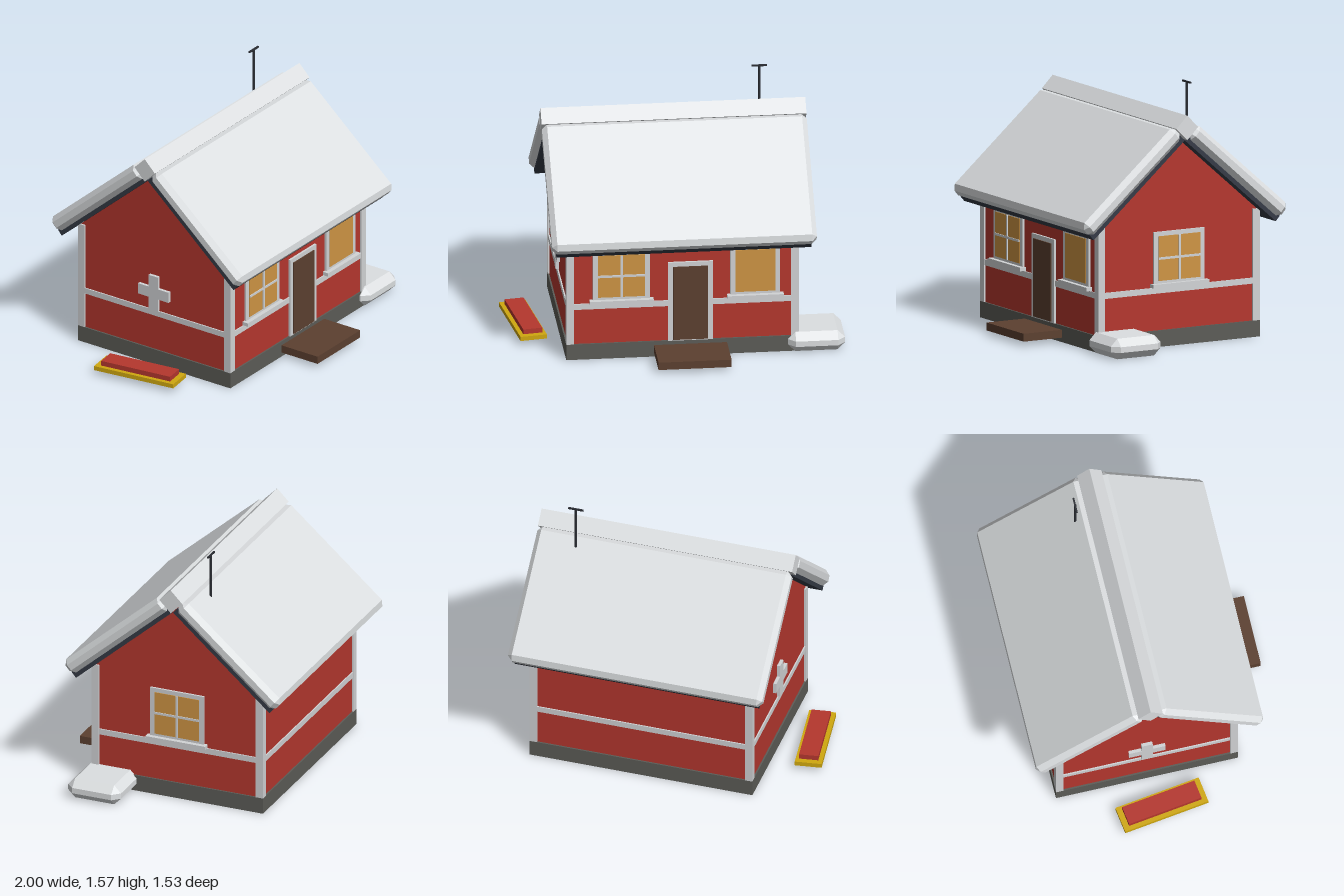
import * as THREE from 'three';
import { ConvexGeometry } from 'three/addons/geometries/ConvexGeometry.js';

const mat = (name, color) => {
  const m = new THREE.MeshStandardMaterial({ color });
  m.name = name;
  return m;
};
const M = {
  red: mat('red paint', 0xb5372e),
  trim: mat('white trim', 0xd2d4d6),
  snow: mat('snow', 0xdcdfe1),
  stone: mat('foundation stone', 0x5c5c57),
  roof: mat('dark roof', 0x353b46),
  wood: mat('brown wood', 0x5c4030),
  glass: mat('warm window', 0xcf9544),
  yellow: mat('yellow wood', 0xd0a80f),
  metal: mat('antenna metal', 0x2b2e34),
};

function add(parent, name, geometry, material, x = 0, y = 0, z = 0) {
  const mesh = new THREE.Mesh(geometry, material);
  mesh.name = name;
  mesh.position.set(x, y, z);
  parent.add(mesh);
  return mesh;
}

const box = (parent, name, material, w, h, d, x, y, z) =>
  add(parent, name, new THREE.BoxGeometry(w, h, d), material, x, y, z);

function group(parent, name, x = 0, y = 0, z = 0) {
  const g = new THREE.Group();
  g.name = name;
  g.position.set(x, y, z);
  parent.add(g);
  return g;
}

// Box with every edge and corner cut off by b
function chamferBox(w, h, d, b) {
  const points = [];
  for (const sx of [-1, 1]) for (const sy of [-1, 1]) for (const sz of [-1, 1]) {
    const [x, y, z] = [w / 2, h / 2, d / 2];
    points.push(
      new THREE.Vector3(sx * x, sy * (y - b), sz * (z - b)),
      new THREE.Vector3(sx * (x - b), sy * y, sz * (z - b)),
      new THREE.Vector3(sx * (x - b), sy * (y - b), sz * z));
  }
  return new ConvexGeometry(points);
}

// Window facing +z, with its origin on the wall surface
function makeWindow(parent, name, width, x, z, crossBars) {
  const w = group(parent, name, x, 0, z);
  box(w, 'windowFrame', M.trim, width, 0.315, 0.033, 0, 0.5425, -0.0035);
  box(w, 'windowPane', M.glass, width - 0.06, 0.272, 0.006, 0, 0.538, 0.014);
  box(w, 'windowSill', M.trim, width + 0.04, 0.022, 0.05, 0, 0.375, 0.015);
  if (crossBars) {
    box(w, 'verticalBar', M.trim, 0.014, 0.272, 0.009, 0, 0.538, 0.0175);
    box(w, 'horizontalBar', M.trim, width - 0.06, 0.014, 0.009, 0, 0.539, 0.0175);
  }
  return w;
}

export function createModel() {
  const model = new THREE.Group();
  model.name = 'cottage';
  const house = group(model, 'house', 0.022, 0, -0.061);
  const WX = 0.69, WZ = 0.55; // half sizes of the walls

  // Foundation and gabled walls
  box(house, 'foundation', M.stone, 1.4, 0.1, 1.12, 0, 0.05, 0);
  const gable = new THREE.Shape([
    [-WZ, 0.09], [WZ, 0.09], [WZ, 0.775], [0, 1.253], [-WZ, 0.775],
  ].map(([x, y]) => new THREE.Vector2(x, y)));
  const walls = new THREE.ExtrudeGeometry(gable, { depth: 2 * WX, bevelEnabled: false });
  walls.translate(0, 0, -WX).rotateY(Math.PI / 2);
  add(house, 'walls', walls, M.red);

  // Corner posts
  for (const sx of [-1, 1]) for (const sz of [-1, 1])
    box(house, 'cornerPost', M.trim, 0.047, 0.68, 0.047, sx * 0.6765, 0.44, sz * 0.5365);

  // Band around the walls
  for (const s of [-1, 1]) {
    box(house, 'wallBand', M.trim, 1.34, 0.036, 0.016, 0, 0.343, s * WZ);
    box(house, 'wallBand', M.trim, 0.016, 0.036, 1.06, s * WX, 0.343, 0);
  }

  // Roof slabs with snow on both slopes
  const pitch = THREE.MathUtils.degToRad(41);
  const snowGeometry = chamferBox(1.595, 0.1, 0.845, 0.03);
  for (const s of [-1, 1]) {
    const slab = box(house, 'roofSlab', M.roof, 1.535, 0.043, 0.835, 0, 0.995, s * 0.331);
    const snow = add(house, 'roofSnow', snowGeometry, M.snow, 0, 1.035, s * 0.368);
    slab.rotation.x = snow.rotation.x = s * pitch;
  }
  const ridge = box(house, 'ridgeSnow', M.snow, 1.595, 0.106, 0.106, 0, 1.335, 0);
  ridge.rotation.x = Math.PI / 4;

  // Windows
  makeWindow(house, 'frontWindowRight', 0.345, -0.368, WZ, true);
  makeWindow(house, 'frontWindowLeft', 0.3, 0.438, WZ, false);
  makeWindow(house, 'sideWindow', 0.35, WX, 0, true).rotation.y = Math.PI / 2;

  // Door
  const door = group(house, 'door', 0.048, 0, WZ);
  box(door, 'doorFrame', M.trim, 0.27, 0.51, 0.03, 0, 0.355, -0.001);
  box(door, 'doorPanel', M.wood, 0.21, 0.475, 0.009, 0, 0.345, 0.0165);

  // Cross on the gable wall
  const cross = group(house, 'wallCross', -WX - 0.005, 0.48, 0);
  box(cross, 'crossUpright', M.trim, 0.03, 0.225, 0.068, 0, 0, 0);
  box(cross, 'crossArms', M.trim, 0.03, 0.068, 0.225, 0, 0, 0);

  // Antenna
  const antenna = group(model, 'antenna', 0.558, 0, -0.21);
  add(antenna, 'antennaPole', new THREE.CylinderGeometry(0.008, 0.008, 0.33, 8), M.metal, 0, 1.4, 0);
  box(antenna, 'antennaBar', M.metal, 0.095, 0.01, 0.01, 0, 1.563, 0);

  // Doorstep and snow pile
  box(model, 'doorstep', M.wood, 0.44, 0.048, 0.265, 0.07, 0.051, 0.632);
  add(model, 'snowPile', chamferBox(0.344, 0.125, 0.345, 0.045), M.snow, 0.828, 0.0625, 0.377);

  // Sled leaning out beside the wall
  const sled = group(model, 'sled', -0.885, 0, -0.018);
  sled.rotation.y = THREE.MathUtils.degToRad(8);
  box(sled, 'sledBase', M.yellow, 0.163, 0.027, 0.535, 0, 0.045, 0);
  box(sled, 'sledSeat', M.red, 0.117, 0.031, 0.465, 0.003, 0.074, 0);

  return model;
}
